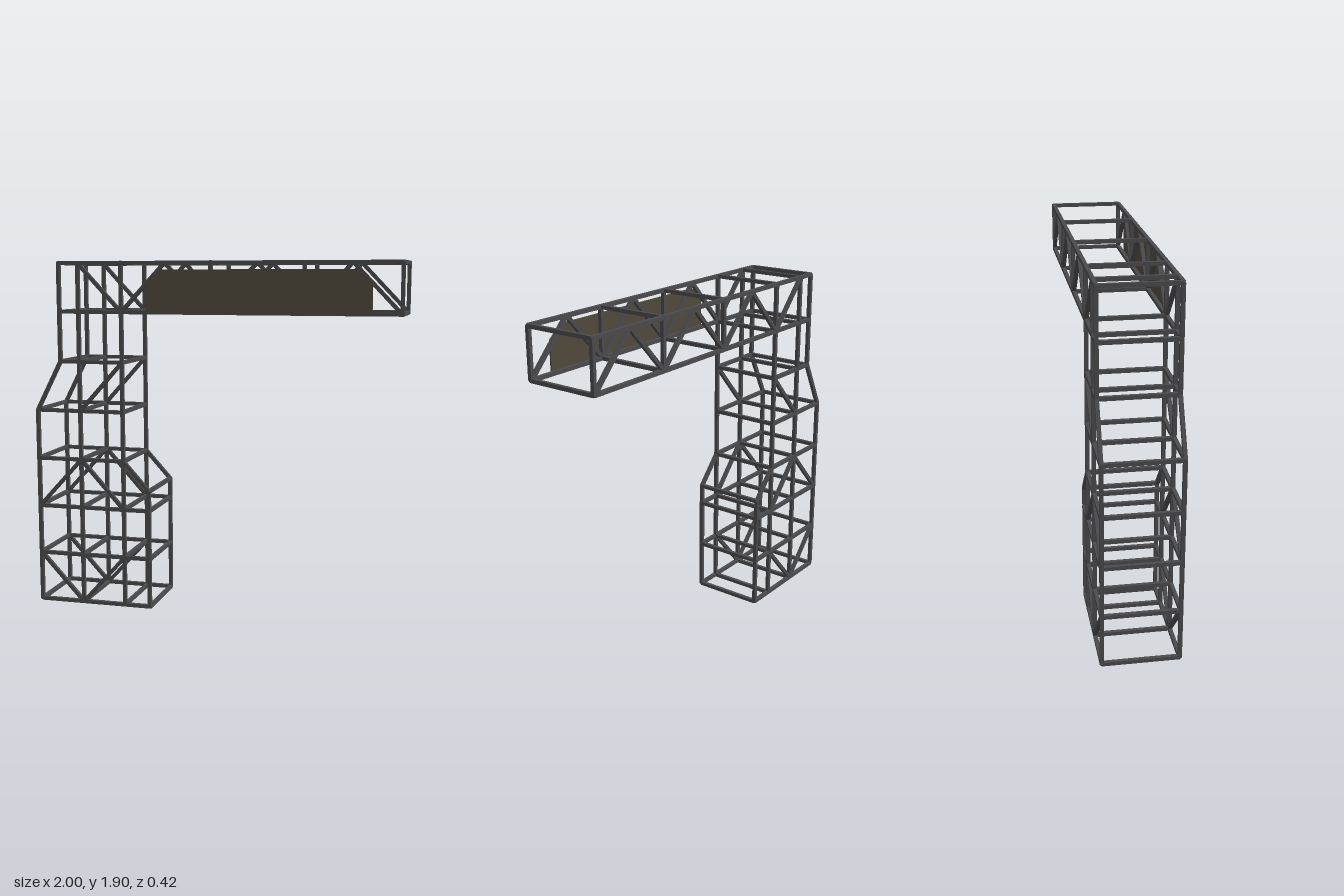
import * as THREE from 'three';

const T = 0.02;                    // bar thickness
const FRONT = 0.191, BACK = -0.2;  // depth of the two truss faces

export function createModel() {
  const model = new THREE.Group();
  model.name = 'trussGantry';
  const steel = new THREE.MeshStandardMaterial({ color: 0x4a4a4d, flatShading: true });
  const brown = new THREE.MeshStandardMaterial({ color: 0x50493b });

  // square bar between two points
  function bar(name, a, b, parent) {
    const p = new THREE.Vector3(...a), q = new THREE.Vector3(...b);
    const mesh = new THREE.Mesh(new THREE.BoxGeometry(T, T, p.distanceTo(q)), steel);
    mesh.name = name;
    mesh.position.copy(p).add(q).multiplyScalar(0.5);
    if (a[2] === b[2]) mesh.up.set(0, 0, 1);
    mesh.lookAt(q);
    parent.add(mesh);
  }

  // tower levels and column lines
  const L = [0.01, 0.28, 0.55, 0.82, 1.09, 1.36, 1.63, 1.89];
  const [xA, xB, xC, xD, xE] = [-0.99, -0.85, -0.74, -0.495, -0.35];

  // bars of one face, as polylines
  const chains = {
    outerColumn: [[[xA, L[0]], [xA, L[4]], [xB, L[5]], [xB, L[7]]]],
    innerColumn: [[[xC, L[0]], [xC, L[7]]], [[xD, L[0]], [xD, L[7]]]],
    buttressColumn: [[[xE, L[0]], [xE, 0.66], [xD, L[3]]]],
    rail: [
      [[xA, L[0]], [xE, L[0]]], [[xA, L[1]], [xE, L[1]]], [[xA, L[2]], [xE, L[2]]],
      [[xA, L[3]], [xD, L[3]]], [[xA, L[4]], [xD, L[4]]], [[xB, L[5]], [xD, L[5]]],
      [[xB, L[6]], [0.99, L[6]]], [[xB, L[7]], [0.99, L[7]]],
    ],
    beamPost: [0, 0.495, 0.99].map(x => [[x, L[6]], [x, L[7]]]),
    towerBrace: [
      [[xA, L[1]], [xC, L[0]], [xD, L[1]]],
      [[xA, L[2]], [xC, L[3]], [xD, L[2]]],
      [[xC, L[4]], [xD, L[5]]],
    ],
    beamBrace: [[xC, xD, -0.25, 0, 0.25, 0.495, 0.74, 0.99].map((x, i) => [x, L[i % 2 ? 6 : 7]])],
  };

  // joints where the two faces are tied together
  const nodes = [[xE, 0.66]];
  L.forEach((y, i) => {
    const xs = [i < 5 ? xA : xB, xC, xD];
    if (i < 3) xs.push(xE);
    if (i > 5) xs.push(0, 0.495, 0.99);
    xs.forEach(x => nodes.push([x, y]));
  });

  // front and back faces
  const jointShape = new THREE.IcosahedronGeometry(0.0135, 0);
  for (const z of [FRONT, BACK]) {
    const face = new THREE.Group();
    face.name = z > 0 ? 'frontTruss' : 'backTruss';
    for (const [name, lines] of Object.entries(chains))
      for (const pts of lines)
        for (let i = 1; i < pts.length; i++)
          bar(name, [...pts[i - 1], z], [...pts[i], z], face);
    for (const [x, y] of nodes) {
      const joint = new THREE.Mesh(jointShape, steel);
      joint.name = 'joint';
      joint.position.set(x, y, z);
      face.add(joint);
    }
    model.add(face);
  }

  // cross bars from front to back
  const ties = new THREE.Group();
  ties.name = 'crossBars';
  for (const [x, y] of nodes) bar('crossBar', [x, y, BACK], [x, y, FRONT], ties);
  model.add(ties);

  // sign board with clipped top corners on the beam front
  const outline = new THREE.Shape([
    [-0.35, 1.63], [0.843, 1.63], [0.843, 1.79], [0.765, 1.855], [-0.265, 1.855], [-0.35, 1.79],
  ].map(p => new THREE.Vector2(...p)));
  const board = new THREE.Mesh(
    new THREE.ExtrudeGeometry(outline, { depth: 0.008, bevelEnabled: false }), brown);
  board.name = 'signBoard';
  board.position.z = 0.202;
  model.add(board);

  return model;
}
